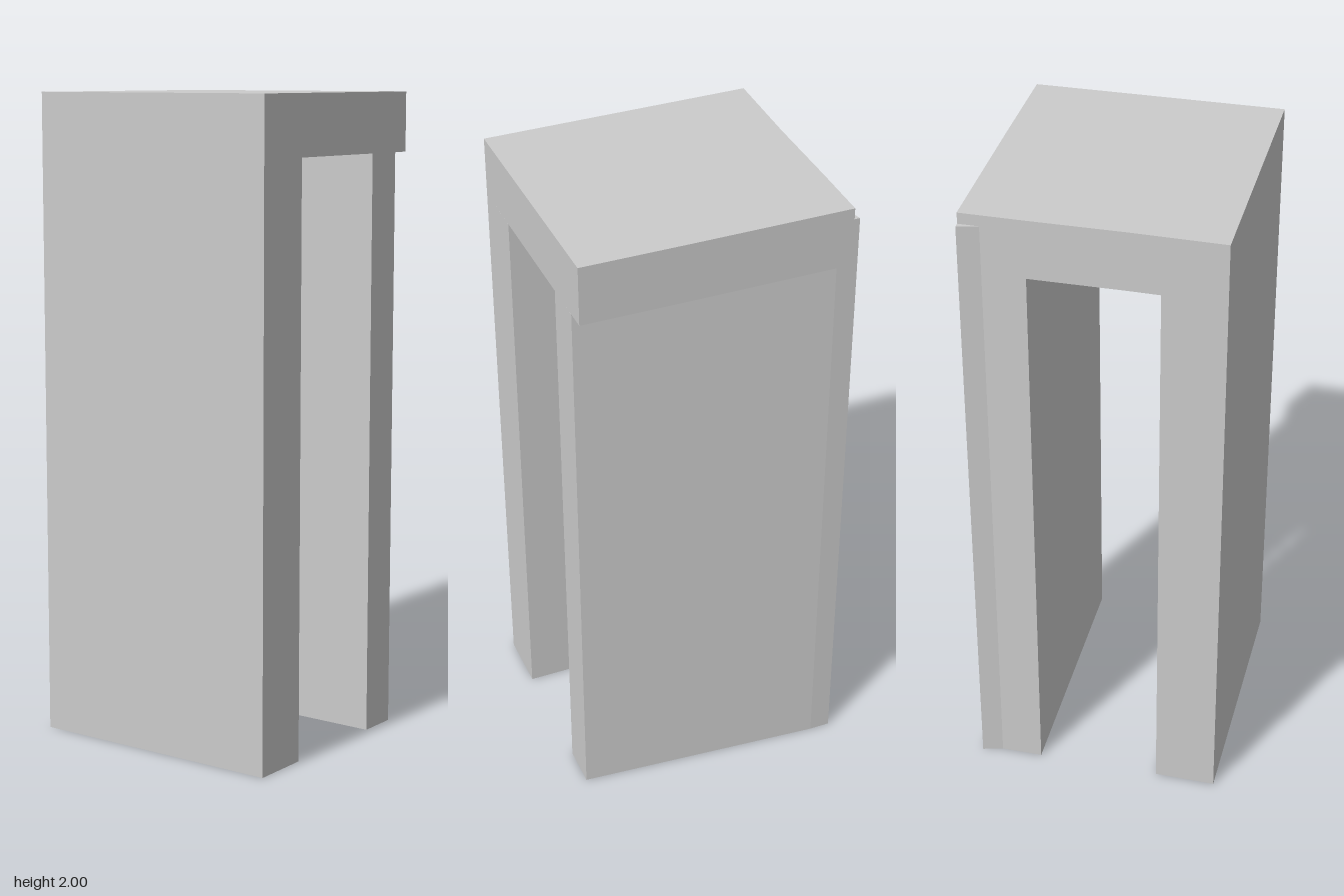
import * as THREE from 'three';

const material = new THREE.MeshStandardMaterial({ color: 0xcccccc, flatShading: true });

// Upright prism from a plan outline of [x, z] corners, between two heights
function prism(name, plan, bottom, top) {
  const shape = new THREE.Shape(plan.map(([x, z]) => new THREE.Vector2(x, -z)));
  const geometry = new THREE.ExtrudeGeometry(shape, { depth: top - bottom, bevelEnabled: false });
  geometry.rotateX(-Math.PI / 2);
  geometry.translate(0, bottom, 0);
  const mesh = new THREE.Mesh(geometry, material);
  mesh.name = name;
  return mesh;
}

export function createModel() {
  const group = new THREE.Group();
  group.name = 'archway';
  const lintelBase = 1.815;

  // Flat top spanning both walls, with a slightly skewed front edge
  group.add(prism('lintel', [
    [-0.385, 0.423], [0.381, 0.414], [0.383, 0.08], [0.383, -0.408],
    [0.19, -0.408], [-0.1, -0.405], [-0.385, -0.408],
  ], lintelBase, 2));

  // Straight wall
  group.add(prism('rightWall', [
    [-0.385, 0.423], [-0.195, 0.421], [-0.195, -0.406], [-0.385, -0.408],
  ], 0, lintelBase));

  // Wall whose outer face tapers towards the front, under the overhang
  group.add(prism('leftWall', [
    [0.19, 0.416], [0.32, 0.415], [0.383, -0.36], [0.383, -0.408], [0.19, -0.408],
  ], 0, lintelBase));

  // Thin wedge proud of the back corner, stopping just short of the top
  group.add(prism('backCornerWedge', [
    [0.32, -0.408], [0.383, -0.408], [0.383, -0.425],
  ], 0, 1.965));

  return group;
}
